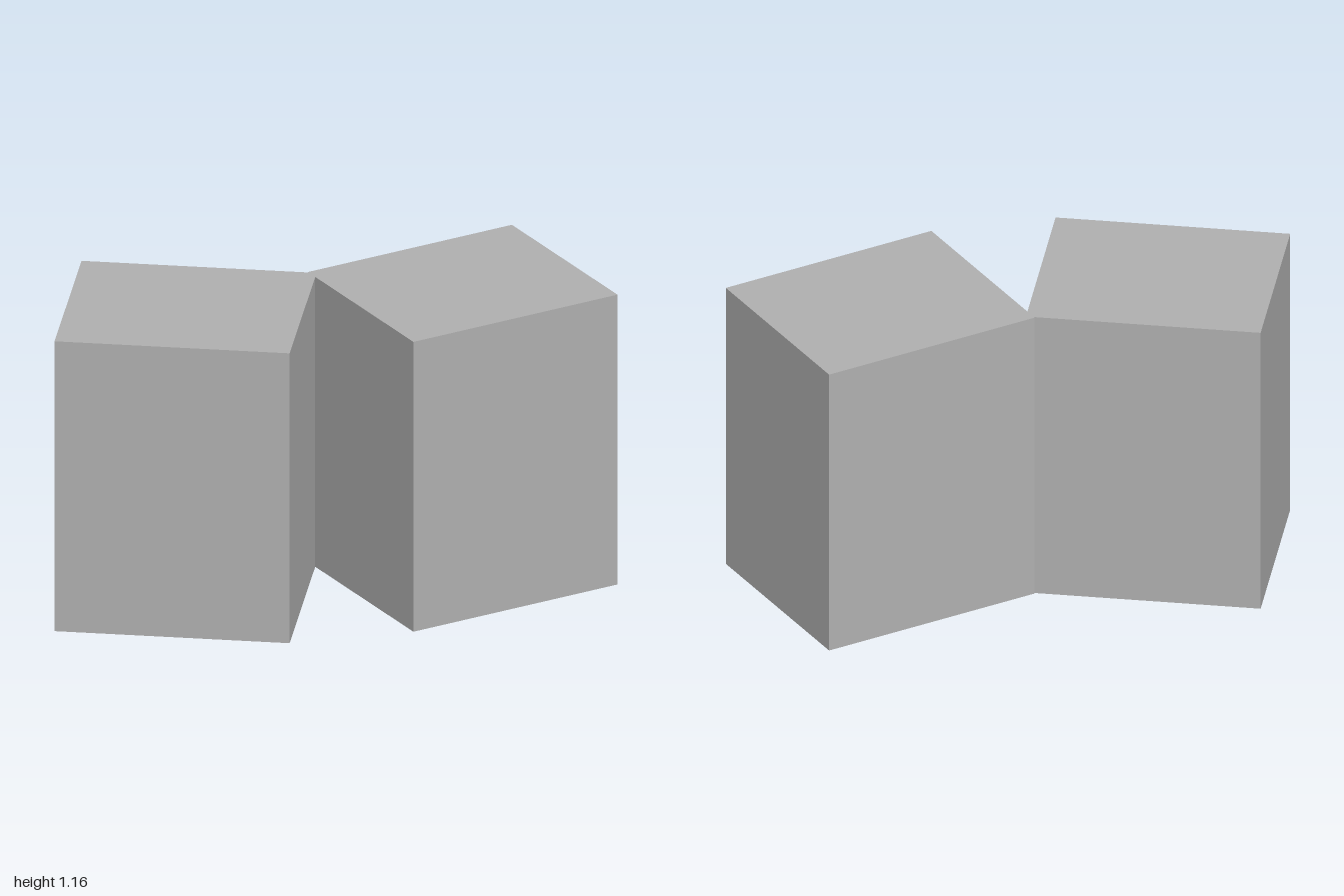
import * as THREE from 'three';

const WIDTH = 0.877, HEIGHT = 1.165, DEPTH = 0.767;

export function createModel() {
  const model = new THREE.Group();
  model.name = 'twinBlocks';

  const grey = new THREE.MeshStandardMaterial({ color: 0xb0b0b0 });
  grey.name = 'plain grey';

  const block = new THREE.BoxGeometry(WIDTH, HEIGHT, DEPTH);

  // Two equal blocks, turned differently and meeting at one back corner
  const placements = [
    { name: 'rightBlock', x: -0.515, z: 0.312, turn: 0.131 },
    { name: 'leftBlock', x: 0.417, z: -0.17, turn: 0.796 },
  ];
  for (const { name, x, z, turn } of placements) {
    const mesh = new THREE.Mesh(block, grey);
    mesh.name = name;
    mesh.position.set(x, HEIGHT / 2, z);
    mesh.rotation.y = turn;
    model.add(mesh);
  }
  return model;
}
